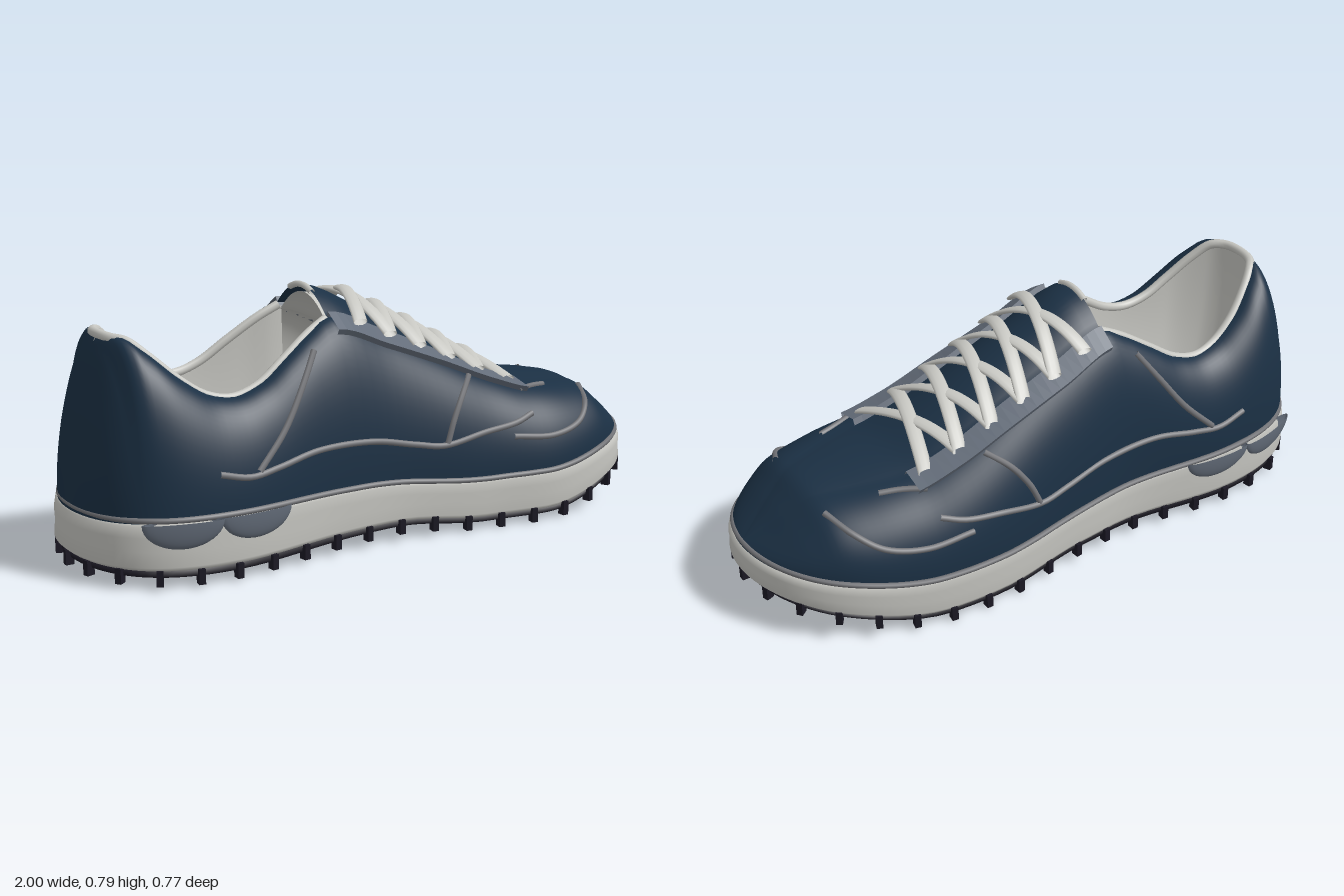
import * as THREE from 'three';
import { mergeGeometries, mergeVertices } from 'three/addons/utils/BufferGeometryUtils.js';

const mat = (name, color) =>
  Object.assign(new THREE.MeshStandardMaterial({ color, side: THREE.DoubleSide }), { name });

// Smooth interpolation through [x, y] pairs without overshoot
function curve(p) {
  const n = p.length, sec = [];
  for (let i = 0; i < n - 1; i++) sec.push((p[i + 1][1] - p[i][1]) / (p[i + 1][0] - p[i][0]));
  const slope = p.map((_, i) => {
    if (i === 0) return sec[0];
    if (i === n - 1) return sec[n - 2];
    const a = sec[i - 1], b = sec[i];
    return a * b <= 0 ? 0 : (2 * a * b) / (a + b);
  });
  return x => {
    if (x <= p[0][0]) return p[0][1];
    if (x >= p[n - 1][0]) return p[n - 1][1];
    let i = 0;
    while (x > p[i + 1][0]) i++;
    const h = p[i + 1][0] - p[i][0], t = (x - p[i][0]) / h, t2 = t * t, t3 = t2 * t;
    return (2 * t3 - 3 * t2 + 1) * p[i][1] + (t3 - 2 * t2 + t) * h * slope[i] +
      (3 * t2 - 2 * t3) * p[i + 1][1] + (t3 - t2) * h * slope[i + 1];
  };
}

// Surface from f(u, v) -> [x, y, z]
function grid(nu, nv, f, flip = false) {
  const pos = [], idx = [];
  for (let i = 0; i <= nu; i++) for (let j = 0; j <= nv; j++) pos.push(...f(i / nu, j / nv));
  for (let i = 0; i < nu; i++) for (let j = 0; j < nv; j++) {
    const a = i * (nv + 1) + j, b = a + nv + 1;
    if (flip) idx.push(a, a + 1, b, b, a + 1, b + 1);
    else idx.push(a, b, a + 1, b, b + 1, a + 1);
  }
  const g = new THREE.BufferGeometry();
  g.setAttribute('position', new THREE.Float32BufferAttribute(pos, 3));
  g.setIndex(idx);
  return g;
}
function weld(...parts) {
  const g = mergeVertices(mergeGeometries(parts), 1e-4);
  g.computeVertexNormals();
  return g;
}
const vec = p => new THREE.Vector3(...p);
const lerp = THREE.MathUtils.lerp;
const tube = (pts, r, closed = false) =>
  new THREE.TubeGeometry(new THREE.CatmullRomCurve3(pts.map(vec), closed), pts.length * 6, r, 8, closed);

// Footprint and heights along the length
const maxWidth = curve([[-1, .36], [-.6, .352], [-.2, .315], [0, .325], [.3, .363], [.6, .388], [1, .39]]);
const mid = curve([[-1, 0], [-.5, -.01], [-.2, -.015], [0, -.025], [.3, -.02], [.6, .008], [.8, .02], [1, .035]]);
const width = x => maxWidth(x) * Math.sqrt(Math.max(0, 1 - Math.abs(x) ** (x < 0 ? 7 : 4.5)));
const soleBottom = curve([[-1, .035], [-.6, .025], [0, .042], [.3, .018], [.5, .018], [.8, .075], [1, .125]]);
const soleTop = curve([[-1, .2], [-.5, .195], [-.1, .19], [.3, .158], [.5, .158], [.8, .2], [1, .237]]);
const rimHeight = curve([[-.985, .2], [-.96, .4], [-.92, .58], [-.87, .7], [-.85, .705], [-.8, .67], [-.7, .58],
  [-.6, .52], [-.54, .51], [-.45, .535], [-.35, .6], [-.25, .665], [-.18, .7], [0, .635], [.2, .55], [.4, .46],
  [.52, .42], [.65, .405], [.78, .39], [.85, .345], [.92, .29], [.985, .24]]);
const rimWidth = curve([[-1, 0], [-.88, 0], [-.865, .06], [-.82, .115], [-.7, .175], [-.5, .2], [-.3, .175],
  [-.18, .15], [.2, .152], [.5, .158], [.75, .1], [.9, .04], [.985, 0]]);
const crown = curve([[-.18, .08], [0, .07], [.3, .045], [.5, .02], [.7, .012], [.985, 0]]);

// Upper wall: t runs from the sole (0) to the rim (PI / 2)
const BULGE = .9, base = x => soleTop(x) - .01, halfBase = x => .965 * width(x / .985);
function wall(x, t, side) {
  const c = rimWidth(x), y0 = base(x);
  return [x, y0 + (rimHeight(x) - y0) * Math.sin(t) ** BULGE,
    mid(x) + side * (c + (halfBase(x) - c) * Math.max(0, Math.cos(t)))];
}
function onWall(x, y, side) {
  const f = THREE.MathUtils.clamp((y - base(x)) / (rimHeight(x) - base(x)), 0, 1);
  return wall(x, Math.asin(f ** (1 / BULGE)), side);
}
const THROAT = -.18;
const rearX = u => -.985 + .805 * u * u;
const frontX = u => THROAT + 1.165 * (1 - (1 - u) ** 2);
const top = (x, v) => {
  const q = 1 - 2 * v;
  return [x, rimHeight(x) + crown(x) * (1 - q * q), mid(x) + rimWidth(x) * q];
};

// Footprint ring, k = inset scale, f = height between sole bottom and top
function ring(a, k, f, lift = 0) {
  const x = Math.cos(a), s = Math.sign(Math.sin(a)), xk = x * k;
  return [xk, lerp(soleBottom(xk), soleTop(xk), f) + lift,
    mid(xk) + (Math.abs(x) > .999999 ? 0 : s * k * width(x))];
}
const slab = levels => weld(grid(128, levels.length - 1,
  (u, v) => ring(u * Math.PI * 2, ...levels[Math.round(v * (levels.length - 1))]), true));

export function createModel() {
  const model = new THREE.Group();
  const navy = mat('navy fabric', 0x1b3044), light = mat('light rubber', 0xc6c6c1),
    slate = mat('slate trim', 0x646d7a), grey = mat('grey piping', 0x717276), dark = mat('dark rubber', 0x1b1924);
  const add = (name, g, m, parent = model) => {
    const mesh = new THREE.Mesh(g, m);
    mesh.name = name;
    parent.add(mesh);
    return mesh;
  };
  const group = name => {
    const g = new THREE.Group();
    g.name = name;
    model.add(g);
    return g;
  };

  // Sole layers
  add('outsole', slab([[0, 0, .02], [.3, 0, .018], [.6, 0, .012], [.93, 0], [.98, .04], [.985, .16], [.95, .18]]), dark);
  add('midsole', slab([[.94, .14], [.985, .16], [.998, .23], [.994, .5], [.996, .75], [.99, .94], [.975, 1], [.9, 1]]), light);
  add('insole', slab([[0, 1, .02], [.4, 1, .02], [.88, 1, .02]]), slate);

  // Tread lugs round the edge
  const lugs = group('lugs'), edge = [];
  for (let i = 0; i < 72; i++) edge.push(vec(ring(i / 72 * Math.PI * 2, .983, 0)));
  const edgeCurve = new THREE.CatmullRomCurve3(edge, true), lugGeo = new THREE.BoxGeometry(.02, .046, .026);
  for (let i = 0; i < 40; i++) {
    const p = edgeCurve.getPointAt(i / 40), d = edgeCurve.getTangentAt(i / 40);
    const lug = add('lug', lugGeo, dark, lugs);
    lug.position.copy(p).y += .006;
    lug.rotation.y = -Math.atan2(d.z, d.x);
  }

  // Heel cushions
  const podGeo = new THREE.SphereGeometry(1, 24, 10, 0, Math.PI * 2, Math.PI / 2, Math.PI / 2);
  podGeo.scale(.12, .08, .02);
  for (const x of [-.77, -.54]) for (const s of [1, -1]) {
    const pod = add('heelCushion', podGeo, slate);
    pod.position.set(x, .2, mid(x) + s * (width(x) - .004));
    pod.rotation.y = -Math.atan(s * (width(x + .06) - width(x - .06)) / .12);
  }

  // Upper, open at the collar
  const rear = [], front = [];
  for (const s of [1, -1]) {
    rear.push(grid(52, 20, (u, v) => wall(rearX(u), v * Math.PI / 2, s), s < 0));
    front.push(grid(52, 20, (u, v) => wall(frontX(u), v * Math.PI / 2, s), s < 0));
  }
  front.push(grid(52, 16, (u, v) => top(frontX(u), v)));
  add('upper', weld(...rear, ...front), navy);

  // Lining: forefoot shell, and a heel cup narrowing from the collar to the insole
  add('forefootLining', weld(...front).scale(.97, .97, .93), light);
  add('heelLining', weld(...[1, -1].map(s => grid(44, 10, (u, v) => {
    const x = -.88 + .71 * u * u, c = Math.max(0, rimWidth(x) - .012), sag = v * v;
    return [x + .09 * sag * (1 - u), lerp(rimHeight(x) - .008, soleTop(x) + .015, v), mid(x) + s * c * (1 - .26 * sag)];
  }, s > 0))), light);

  // Collar, tongue lip and seam above the sole
  const collar = [], rim = [-.18, -.25, -.35, -.45, -.54, -.62, -.7, -.78, -.83, -.86];
  const rimPoint = (x, s) => [x, rimHeight(x) - .006, mid(x) + s * Math.max(0, rimWidth(x) - .006)];
  rim.forEach(x => collar.push(rimPoint(x, 1)));
  collar.push([-.87, .7, 0]);
  [...rim].reverse().forEach(x => collar.push(rimPoint(x, -1)));
  add('collar', tube(collar, .015), light);
  add('tongueLip', tube([.28, .4, .5, .6, .72].map(v => top(THROAT, v)), .01), light);
  const seam = [];
  for (let i = 0; i < 64; i++) seam.push(ring(i / 64 * Math.PI * 2, .978, 1, .006));
  add('soleSeam', tube(seam, .009, true), grey);

  // Eyestays: slim slabs beside the tongue
  for (const s of [1, -1]) {
    const g = grid(24, 4, (u, v) => {
      const x = THROAT + .7 * u, k = Math.round(v * 4) % 4;
      const c = rimWidth(x), z = k === 0 || k === 3 ? c : lerp(.215, .24, u);
      const p = wall(x, Math.acos(Math.min(1, (z - c) / (halfBase(x) - c))), s);
      return k < 2 ? [x, p[1] + .018, p[2] + s * .008] : [x, p[1] - .012, p[2] - s * .008];
    }, s > 0).toNonIndexed();
    g.computeVertexNormals();
    add('eyestay', g, slate);
  }

  // Crossed flat laces
  const laces = group('laces');
  for (let i = 0; i < 5; i++) for (const s of [1, -1]) {
    const x0 = -.085 + .112 * i;
    add('lace', weld(grid(28, 10, (u, v) => {
      const x = x0 + .112 * u, q = 1 - 2 * u, a = v * Math.PI * 2;
      const y = rimHeight(x) + .008 + (crown(x) + .022 + s * .005) * (1 - q * q);
      return [x + .025 * Math.cos(a), y + .01 * Math.sin(a), mid(x) + s * q * .2];
    }, s < 0)), light, laces);
  }

  // Piping, given as side positions (x, y) laid on the upper
  const piping = [
    [[-.65, .32], [-.55, .298], [-.45, .31], [-.3, .335], [-.1, .33], [.05, .3], [.15, .285], [.3, .31], [.42, .325], [.49, .345]],
    [[-.52, .31], [-.42, .41], [-.34, .52], [-.27, .62]],
    [[.16, .29], [.19, .36], [.24, .43], [.3, .475]],
    [[.4, .285], [.55, .272], [.67, .295], [.74, .34], [.785, .378]],
    [[.49, .408], [.56, .407], [.62, .403]],
  ];
  for (const s of [1, -1])
    for (const l of piping) add('piping', tube(l.map(([x, y]) => onWall(x, y, s)), .01), grey);
  return model;
}
